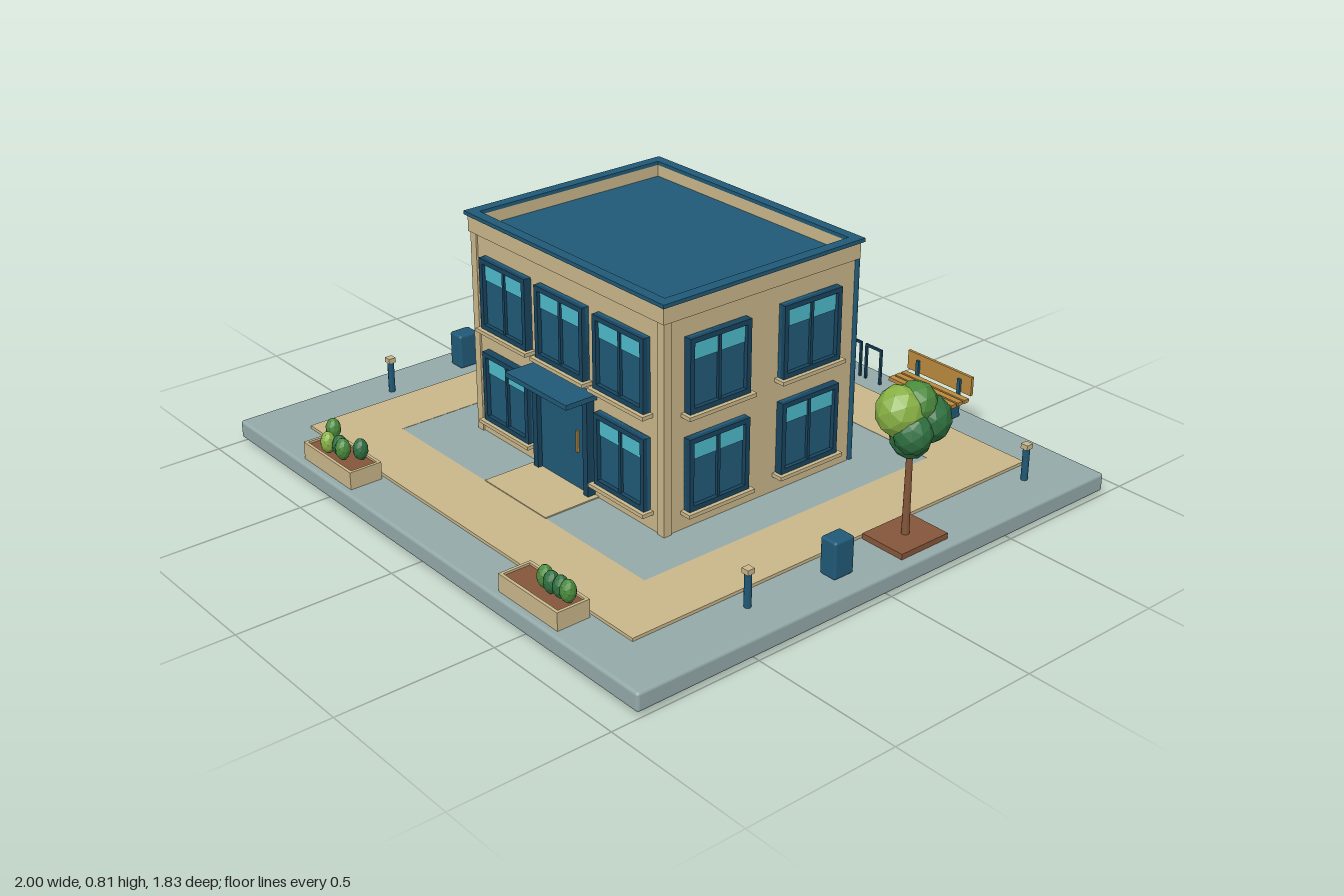
import * as THREE from 'three';
import { RoundedBoxGeometry } from 'three/addons/geometries/RoundedBoxGeometry.js';

const mat = (name, color, flatShading = false) => {
  const m = new THREE.MeshStandardMaterial({ color, flatShading });
  m.name = name;
  return m;
};

export function createModel() {
  const M = {
    stone: mat('stone', 0x94a9a9), sand: mat('sand', 0xc9b78a), navy: mat('navy', 0x205977),
    dark: mat('darkNavy', 0x18445e), cyan: mat('cyan', 0x4db9cb), wood: mat('wood', 0xb98a3e),
    soil: mat('soil', 0x85563a), green: mat('green', 0x2f7040, true),
    lime: mat('lime', 0x88b045, true), leaf: mat('leaf', 0x4a8a3c, true),
  };
  const root = new THREE.Group();
  root.name = 'townBuilding';
  const group = (name, parent = root, x = 0, y = 0, z = 0) => {
    const g = new THREE.Group();
    g.name = name;
    g.position.set(x, y, z);
    parent.add(g);
    return g;
  };
  const add = (parent, name, geometry, material, x = 0, y = 0, z = 0) => {
    const m = new THREE.Mesh(geometry, material);
    m.name = name;
    m.position.set(x, y, z);
    parent.add(m);
    return m;
  };
  // Box given by its extents along each axis
  const box = (parent, name, material, x0, x1, y0, y1, z0, z1) =>
    add(parent, name, new THREE.BoxGeometry(x1 - x0, y1 - y0, z1 - z0), material,
      (x0 + x1) / 2, (y0 + y1) / 2, (z0 + z1) / 2);
  // Rectangular ring lying flat, with outer and inner half sizes
  const ring = (parent, name, material, ox, oz, ix, iz, y0, y1) => {
    const s = new THREE.Shape([[-ox, -oz], [ox, -oz], [ox, oz], [-ox, oz]].map(p => new THREE.Vector2(...p)));
    s.holes.push(new THREE.Path([[-ix, -iz], [-ix, iz], [ix, iz], [ix, -iz]].map(p => new THREE.Vector2(...p))));
    const g = new THREE.ExtrudeGeometry(s, { depth: y1 - y0, bevelEnabled: false });
    g.rotateX(-Math.PI / 2);
    return add(parent, name, g, material, 0, y0, 0);
  };

  // Ground slab and paving
  const ground = group('ground');
  box(ground, 'underside', M.dark, -0.97, 0.97, 0, 0.016, -0.89, 0.89);
  add(ground, 'slab', new RoundedBoxGeometry(2, 0.06, 1.83, 2, 0.01), M.stone, 0, 0.045, 0);
  ring(ground, 'walkway', M.sand, 0.805, 0.772, 0.6, 0.562, 0.07, 0.085);
  box(ground, 'plaza', M.stone, -0.6, 0.6, 0.07, 0.084, -0.562, 0.562);
  box(ground, 'entrancePath', M.sand, -0.15, 0.15, 0.07, 0.088, 0.36, 0.563);

  // Building shell and roof
  const house = group('building');
  box(house, 'walls', M.sand, -0.45, 0.45, 0.08, 0.755, -0.365, 0.365);
  ring(house, 'parapet', M.sand, 0.46, 0.376, 0.433, 0.35, 0.75, 0.803);
  ring(house, 'parapetCap', M.navy, 0.469, 0.384, 0.433, 0.35, 0.803, 0.815);
  box(house, 'roofDeck', M.navy, -0.433, 0.433, 0.75, 0.765, -0.35, 0.35);
  for (const sx of [-1, 1]) {
    const x = sx * 0.442;
    box(house, 'cornerPilaster', M.sand, x - 0.014, x + 0.014, 0.08, 0.75, 0.343, 0.371);
    add(house, 'downpipe', new THREE.CylinderGeometry(0.009, 0.009, 0.665, 8), M.navy, sx * 0.449, 0.42, -0.373);
  }

  // Framed window, built facing +z from its wall
  const addWindow = (parent, x, y) => {
    const w = group('window', parent, x, y, 0);
    const W = 0.114, H = 0.116, t = 0.016;
    box(w, 'glass', M.navy, -W, W, -H, H, 0, 0.012);
    box(w, 'upperPane', M.cyan, -W + t, W - t, 0.044, H - t - 0.004, 0.011, 0.015);
    for (const s of [-1, 1]) {
      box(w, 'frameSide', M.dark, s * (W - t / 2) - t / 2, s * (W - t / 2) + t / 2, -H, H, 0, 0.026);
      box(w, 'frameRail', M.dark, -W + t, W - t, s * (H - t / 2) - t / 2, s * (H - t / 2) + t / 2, 0, 0.026);
    }
    box(w, 'mullion', M.dark, -0.005, 0.005, -H + t, H - t, 0, 0.021);
    box(w, 'sill', M.sand, -W - 0.012, W + 0.012, -H - 0.012, -H, 0, 0.039);
  };
  const walls = [
    ['front', 0, 0.365, [-0.275, 0, 0.275]], ['back', Math.PI, 0.365, [-0.275, 0, 0.275]],
    ['left', Math.PI / 2, 0.45, [-0.178, 0.178]], ['right', -Math.PI / 2, 0.45, [-0.178, 0.178]],
  ];
  for (const [side, angle, d, xs] of walls) {
    const g = group(side + 'Windows', house, Math.sin(angle) * d, 0, Math.cos(angle) * d);
    g.rotation.y = angle;
    for (const x of xs) {
      addWindow(g, x, 0.573);
      if (side !== 'front' || x !== 0) addWindow(g, x, 0.262);
    }
  }

  // Entrance
  const entry = group('entrance', house);
  box(entry, 'door', M.navy, -0.115, 0.115, 0.088, 0.38, 0.36, 0.377);
  for (const s of [-1, 1]) box(entry, 'doorJamb', M.dark, s * 0.122 - 0.011, s * 0.122 + 0.011, 0.085, 0.4, 0.36, 0.393);
  box(entry, 'doorHead', M.dark, -0.111, 0.111, 0.38, 0.405, 0.36, 0.393);
  box(entry, 'canopy', M.navy, -0.148, 0.148, 0.406, 0.422, 0.36, 0.479);
  box(entry, 'handle', M.wood, 0.067, 0.074, 0.21, 0.28, 0.377, 0.385);

  // Trees: crown blobs as [material, x, y, z, radius]
  const tree = (x, z, blobs) => {
    const t = group('tree', root, x, 0, z);
    box(t, 'treeBed', M.soil, -0.078, 0.078, 0.07, 0.093, -0.094, 0.094);
    add(t, 'trunk', new THREE.CylinderGeometry(0.009, 0.012, 0.3, 8), M.soil, 0, 0.235, 0);
    for (const [m, bx, by, bz, r] of blobs) {
      const b = add(t, 'foliage', new THREE.IcosahedronGeometry(r, 1), m, bx, by, bz);
      b.scale.y = 1.1;
      b.rotation.y = bx * 20;
    }
  };
  tree(-0.895, -0.39, [
    [M.lime, -0.025, 0.485, -0.045, 0.072], [M.lime, 0.005, 0.46, 0.04, 0.07],
    [M.green, 0.035, 0.445, -0.02, 0.058], [M.green, -0.035, 0.42, 0.01, 0.058],
    [M.leaf, 0, 0.5, 0, 0.066], [M.green, 0.005, 0.405, 0, 0.06],
  ]);
  tree(0.888, -0.165, [
    [M.lime, -0.01, 0.49, 0.038, 0.072], [M.green, 0.025, 0.455, -0.045, 0.066],
    [M.green, -0.03, 0.45, -0.02, 0.06], [M.leaf, 0.005, 0.505, -0.01, 0.062],
    [M.green, 0.035, 0.435, 0.03, 0.058], [M.green, 0, 0.405, 0, 0.062],
  ]);

  // Planters: shrubs as [x, z, material]
  const planter = (x, shrubs) => {
    const p = group('planter', root, x, 0, 0.838);
    const box0 = ring(p, 'planterWall', M.sand, 0.132, 0.055, 0.122, 0.045, 0.07, 0.132);
    box0.castShadow = false;
    box(p, 'planterSoil', M.soil, -0.122, 0.122, 0.07, 0.125, -0.045, 0.045);
    for (const [sx, sz, m] of shrubs) {
      const s = add(p, 'shrub', new THREE.IcosahedronGeometry(0.024, 1), m, sx - x, 0.162, sz - 0.838);
      s.scale.y = 1.5;
    }
  };
  planter(-0.508, [[-0.608, 0.805, M.leaf], [-0.54, 0.865, M.lime], [-0.497, 0.85, M.green],
    [-0.472, 0.855, M.leaf], [-0.437, 0.815, M.green]]);
  planter(0.508, [[0.51, 0.833, M.leaf], [0.545, 0.838, M.green], [0.58, 0.833, M.green], [0.61, 0.832, M.leaf]]);

  // Litter bins and bollards
  for (const s of [-1, 1]) {
    const b = group('litterBin', root, s * 0.895, 0, 0.115);
    add(b, 'binBody', new RoundedBoxGeometry(0.062, 0.12, 0.075, 2, 0.009), M.navy, 0, 0.132, 0);
    for (const z of [-0.7, 0.425]) {
      const post = group('bollard', root, s * 0.87, 0, z);
      add(post, 'post', new THREE.CylinderGeometry(0.011, 0.011, 0.11, 8), M.navy, 0, 0.125, 0);
      box(post, 'postCap', M.sand, -0.0125, 0.0125, 0.18, 0.196, -0.0125, 0.0125);
    }
  }

  // Benches, facing the building
  for (const x of [-0.357, 0.35]) {
    const b = group('bench', root, x, 0, 0);
    box(b, 'benchPad', M.sand, -0.102, 0.102, 0.07, 0.084, -0.87, -0.766);
    for (const s of [-1, 1]) box(b, 'benchLeg', M.navy, s * 0.09 - 0.014, s * 0.09 + 0.014, 0.075, 0.137, -0.865, -0.792);
    for (const z of [-0.858, -0.829, -0.8]) box(b, 'seatSlat', M.wood, -0.138, 0.138, 0.137, 0.149, z - 0.011, z + 0.011);
    box(b, 'backrest', M.wood, -0.138, 0.138, 0.155, 0.22, -0.886, -0.876);
    for (const s of [-1, 1]) box(b, 'backSupport', M.navy, s * 0.09 - 0.006, s * 0.09 + 0.006, 0.13, 0.2, -0.876, -0.868);
  }

  // Cycle stands
  for (const x of [-0.092, 0, 0.092]) {
    const g = group('cycleStand', root, x, 0, -0.84);
    for (const s of [-1, 1]) box(g, 'standLeg', M.dark, s * 0.033 - 0.004, s * 0.033 + 0.004, 0.07, 0.2, -0.004, 0.004);
    box(g, 'standBar', M.dark, -0.029, 0.029, 0.192, 0.2, -0.004, 0.004);
  }
  return root;
}
